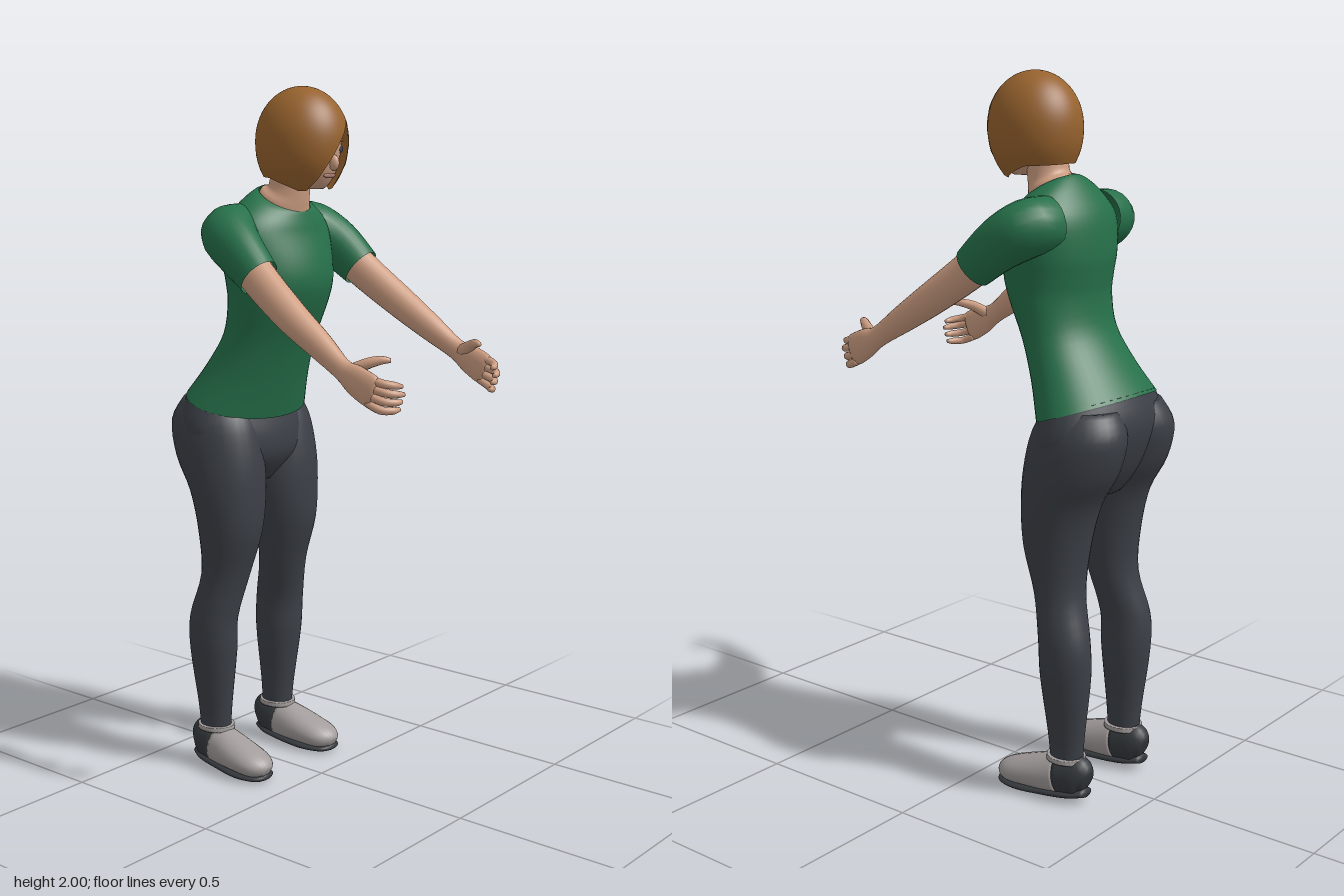
import * as THREE from 'three';

const mat = (name, color, side = THREE.FrontSide) => {
  const m = new THREE.MeshStandardMaterial({ color, side });
  m.name = name;
  return m;
};

// Catmull-Rom resampling of rows of numbers
function smooth(rows, n = 4) {
  const out = [];
  for (let i = 0; i < rows.length - 1; i++) {
    const a = rows[Math.max(i - 1, 0)], b = rows[i], c = rows[i + 1], d = rows[Math.min(i + 2, rows.length - 1)];
    for (let k = 0; k < n; k++) {
      const t = k / n;
      out.push(b.map((v, j) => {
        const cubic = 3 * (v - c[j]) + d[j] - a[j];
        const square = 2 * a[j] - 5 * v + 4 * c[j] - d[j];
        return v + 0.5 * t * (c[j] - a[j] + t * (square + t * cubic));
      }));
    }
  }
  out.push(rows[rows.length - 1]);
  return out;
}

// Level rings, bottom to top: [y, centre x, front z, back z, half width, tilt]
function levelRings(rows, s = 1, sides = 32) {
  return smooth(rows).map(([y, cx, zf, zb, w, tilt]) => {
    const zc = (zf + zb) / 2, d = (zf - zb) / 2;
    return Array.from({ length: sides }, (_, j) => {
      const a = j / sides * Math.PI * 2, dz = -d * Math.sin(a);
      return new THREE.Vector3(s * cx + w * Math.cos(a), y + (tilt ?? 0) * dz, zc + dz);
    });
  });
}

// Rings along a path: [x, y, z, sideways radius, upright radius]
function pathRings(rows, s = 1, sides = 16) {
  const r = smooth(rows), p = r.map(v => new THREE.Vector3(s * v[0], v[1], v[2]));
  return r.map((v, i) => {
    const t = p[Math.min(i + 1, p.length - 1)].clone().sub(p[Math.max(i - 1, 0)]).normalize();
    const n1 = new THREE.Vector3(1, 0, 0).addScaledVector(t, -t.x).normalize();
    const n2 = t.clone().cross(n1);
    return Array.from({ length: sides }, (_, j) => {
      const a = j / sides * Math.PI * 2;
      return p[i].clone().addScaledVector(n1, v[3] * Math.cos(a)).addScaledVector(n2, v[4] * Math.sin(a));
    });
  });
}

// Skin over rings, closed at the ends with a fan
function loft(rings, capped = true) {
  const pos = [], idx = [], n = rings[0].length, last = rings.length - 1;
  rings.forEach(r => r.forEach(v => pos.push(v.x, v.y, v.z)));
  for (let i = 0; i < last; i++) for (let j = 0; j < n; j++) {
    const a = i * n + j, b = i * n + (j + 1) % n;
    idx.push(a, b, b + n, a, b + n, a + n);
  }
  if (capped) [0, last].forEach(i => {
    const c = rings[i].reduce((m, v) => m.addScaledVector(v, 1 / n), new THREE.Vector3());
    const k = pos.push(c.x, c.y, c.z) / 3 - 1;
    for (let j = 0; j < n; j++) {
      const a = i * n + j, b = i * n + (j + 1) % n;
      if (i) idx.push(a, b, k); else idx.push(b, a, k);
    }
  });
  const g = new THREE.BufferGeometry();
  g.setAttribute('position', new THREE.Float32BufferAttribute(pos, 3));
  g.setIndex(idx);
  g.computeVertexNormals();
  return g;
}

// Bob: hangs from the crown to an edge whose height changes around the head
function hairGeometry() {
  const edge = [[-180, 1.755], [-110, 1.75], [-60, 1.715], [-45, 1.715], [-30, 1.745], [-15, 1.8], [0, 1.85],
    [15, 1.885], [30, 1.91], [40, 1.895], [47, 1.8], [52, 1.72], [65, 1.715], [110, 1.75], [180, 1.755]];
  const edgeAt = deg => {
    const i = Math.max(1, edge.findIndex(e => e[0] >= deg)), [a, b] = [edge[i - 1], edge[i]];
    return THREE.MathUtils.mapLinear(deg, a[0], b[0], a[1], b[1]);
  };
  const rings = [];
  for (let i = 0; i <= 20; i++) rings.push(Array.from({ length: 90 }, (_, j) => {
    const deg = j * 4 - 180, a = deg * Math.PI / 180, e = edgeAt(deg);
    const y = e + (2 - e) * Math.sin(i / 20 * Math.PI / 2);
    const f = y > 1.85 ? Math.sqrt(Math.max(0, 1 - ((y - 1.85) / 0.15) ** 2)) : 1 - 0.34 * ((1.85 - y) / 0.13) ** 2.4;
    return new THREE.Vector3(0.123 * f * Math.sin(a), y, -0.07 + 0.137 * f * Math.cos(a));
  }));
  return loft(rings, false);
}

export function createModel() {
  const root = new THREE.Group();
  root.name = 'woman';
  const skin = mat('skin', 0xcf9f83), shirt = mat('green shirt', 0x26704a, THREE.DoubleSide);
  const pants = mat('dark trousers', 0x3c4047), hair = mat('brown hair', 0x98632e, THREE.DoubleSide);
  const grey = mat('grey shoe', 0xa39c9c), dark = mat('dark shoe', 0x35393d);
  const eyeColor = mat('eye', 0x3a4356), lip = mat('lips', 0xa8756a);
  const add = (name, geo, m) => {
    const mesh = new THREE.Mesh(geo, m);
    mesh.name = name;
    root.add(mesh);
    return mesh;
  };
  const blob = (name, m, p, r) => {
    const b = add(name, new THREE.SphereGeometry(1, 16, 12), m);
    b.position.set(...p);
    b.scale.set(...r);
    return b;
  };

  // Torso
  add('shirtBody', loft(levelRings([
    [1.105, 0, -0.158, -0.418, 0.217, -0.33], [1.2, 0, -0.125, -0.355, 0.182, -0.25],
    [1.3, 0, -0.085, -0.3, 0.162, -0.15], [1.4, 0, -0.035, -0.285, 0.168, 0],
    [1.46, 0, -0.02, -0.29, 0.176, 0], [1.52, 0, -0.028, -0.295, 0.185, 0],
    [1.6, 0, -0.05, -0.283, 0.19, -0.12], [1.65, 0, -0.058, -0.245, 0.158, -0.35],
    [1.682, 0, -0.066, -0.215, 0.11, -0.5], [1.692, 0, -0.07, -0.202, 0.08, -0.55],
  ], 1, 48), false), shirt);
  add('pelvis', loft(levelRings([
    [0.87, 0, -0.21, -0.35, 0.09, 0], [0.95, 0, -0.158, -0.405, 0.2, -0.05],
    [1.04, 0, -0.152, -0.437, 0.23, -0.2], [1.115, 0, -0.166, -0.412, 0.21, -0.33],
  ], 1, 40)), pants);

  // Neck, head and face
  add('neck', loft(levelRings([
    [1.62, 0, -0.08, -0.2, 0.07, -0.5], [1.687, 0, -0.071, -0.2, 0.078, -0.55],
    [1.715, 0, -0.062, -0.175, 0.06, -0.35], [1.78, 0, -0.05, -0.17, 0.056, 0],
  ])), skin);
  add('head', loft(levelRings([
    [1.72, 0, 0, -0.06, 0.026], [1.735, 0, 0.016, -0.1, 0.05], [1.77, 0, 0.035, -0.15, 0.076],
    [1.82, 0, 0.045, -0.18, 0.093], [1.87, 0, 0.045, -0.185, 0.1], [1.92, 0, 0.028, -0.17, 0.088],
    [1.96, 0, -0.02, -0.12, 0.05],
  ])), skin);
  add('hair', hairGeometry(), hair);
  blob('nose', skin, [0, 1.792, 0.044], [0.013, 0.022, 0.016]);
  blob('mouth', lip, [0, 1.757, 0.028], [0.026, 0.007, 0.005]);
  for (const s of [1, -1]) {
    blob('eye', eyeColor, [s * 0.046, 1.828, 0.031], [0.018, 0.009, 0.0045]).rotation.y = s * 0.45;
    blob('eyebrow', hair, [s * 0.048, 1.853, 0.032], [0.022, 0.004, 0.004]).rotation.y = s * 0.45;
  }

  for (const s of [1, -1]) {
    const side = s > 0 ? 'left' : 'right';
    // Sleeve and arm with flattened palm
    add(side + 'Sleeve', loft(pathRings([
      [0.11, 1.605, -0.2, 0.07, 0.075], [0.18, 1.595, -0.18, 0.082, 0.078],
      [0.212, 1.553, -0.115, 0.066, 0.072], [0.223, 1.487, -0.035, 0.055, 0.06],
    ], s, 24), false), shirt);
    add(side + 'Arm', loft(pathRings([
      [0.215, 1.53, -0.09, 0.05, 0.055], [0.228, 1.467, -0.01, 0.046, 0.052],
      [0.243, 1.39, 0.1, 0.043, 0.046], [0.25, 1.325, 0.2, 0.035, 0.038],
      [0.258, 1.272, 0.28, 0.023, 0.03], [0.26, 1.248, 0.325, 0.021, 0.041],
      [0.258, 1.224, 0.372, 0.018, 0.045], [0.256, 1.218, 0.386, 0.012, 0.038],
    ], s, 20)), skin);
    for (let i = 0; i < 4; i++) {
      const k = 1.5 - i, back = 0.007 * Math.abs(i - 1);
      add(side + 'Finger' + (i + 1), loft(pathRings([
        [0.258, 1.223 + k * 0.021, 0.365, 0.012, 0.012], [0.252, 1.21 + k * 0.023, 0.415 - back, 0.011, 0.011],
        [0.23, 1.206 + k * 0.022, 0.438 - back, 0.01, 0.01], [0.208, 1.205 + k * 0.02, 0.444 - back, 0.006, 0.006],
      ], s, 10)), skin);
    }
    add(side + 'Thumb', loft(pathRings([
      [0.254, 1.265, 0.3, 0.016, 0.018], [0.238, 1.288, 0.345, 0.014, 0.015],
      [0.218, 1.298, 0.375, 0.012, 0.012], [0.203, 1.298, 0.398, 0.006, 0.006],
    ], s, 10)), skin);

    // Leg
    add(side + 'Leg', loft(levelRings([
      [0.12, 0.14, -0.248, -0.345, 0.041], [0.2, 0.142, -0.24, -0.352, 0.045], [0.365, 0.147, -0.22, -0.37, 0.063],
      [0.47, 0.148, -0.215, -0.366, 0.066], [0.6, 0.128, -0.188, -0.332, 0.073], [0.73, 0.122, -0.15, -0.34, 0.092],
      [0.85, 0.118, -0.144, -0.368, 0.11], [0.95, 0.117, -0.15, -0.425, 0.117], [1.05, 0.113, -0.172, -0.448, 0.112],
      [1.12, 0.1, -0.21, -0.415, 0.09],
    ], s)), pants);

    // Shoe: dark heel, grey toe, thin sole and ankle trim
    const shoe = pathRings([
      [0.14, 0.07, -0.37, 0.022, 0.03], [0.14, 0.077, -0.345, 0.044, 0.058], [0.142, 0.073, -0.3, 0.052, 0.06],
      [0.144, 0.067, -0.26, 0.056, 0.06], [0.148, 0.058, -0.2, 0.061, 0.05], [0.152, 0.046, -0.13, 0.058, 0.038],
      [0.153, 0.038, -0.095, 0.04, 0.028], [0.153, 0.032, -0.08, 0.015, 0.014],
    ], s, 20);
    add(side + 'ShoeHeel', loft(shoe.slice(0, 11)), dark);
    add(side + 'ShoeToe', loft(shoe.slice(10)), grey);
    add(side + 'Sole', loft(pathRings([
      [0.14, 0.034, -0.365, 0.025, 0.012], [0.142, 0.026, -0.32, 0.045, 0.014], [0.145, 0.018, -0.24, 0.054, 0.015],
      [0.15, 0.014, -0.16, 0.06, 0.013], [0.153, 0.014, -0.1, 0.045, 0.011], [0.153, 0.018, -0.08, 0.018, 0.007],
    ], s, 20)), dark);
    add(side + 'AnkleTrim', loft(levelRings([
      [0.117, 0.14, -0.236, -0.354, 0.051], [0.132, 0.14, -0.238, -0.352, 0.05],
    ], s)), grey);
  }
  return root;
}
